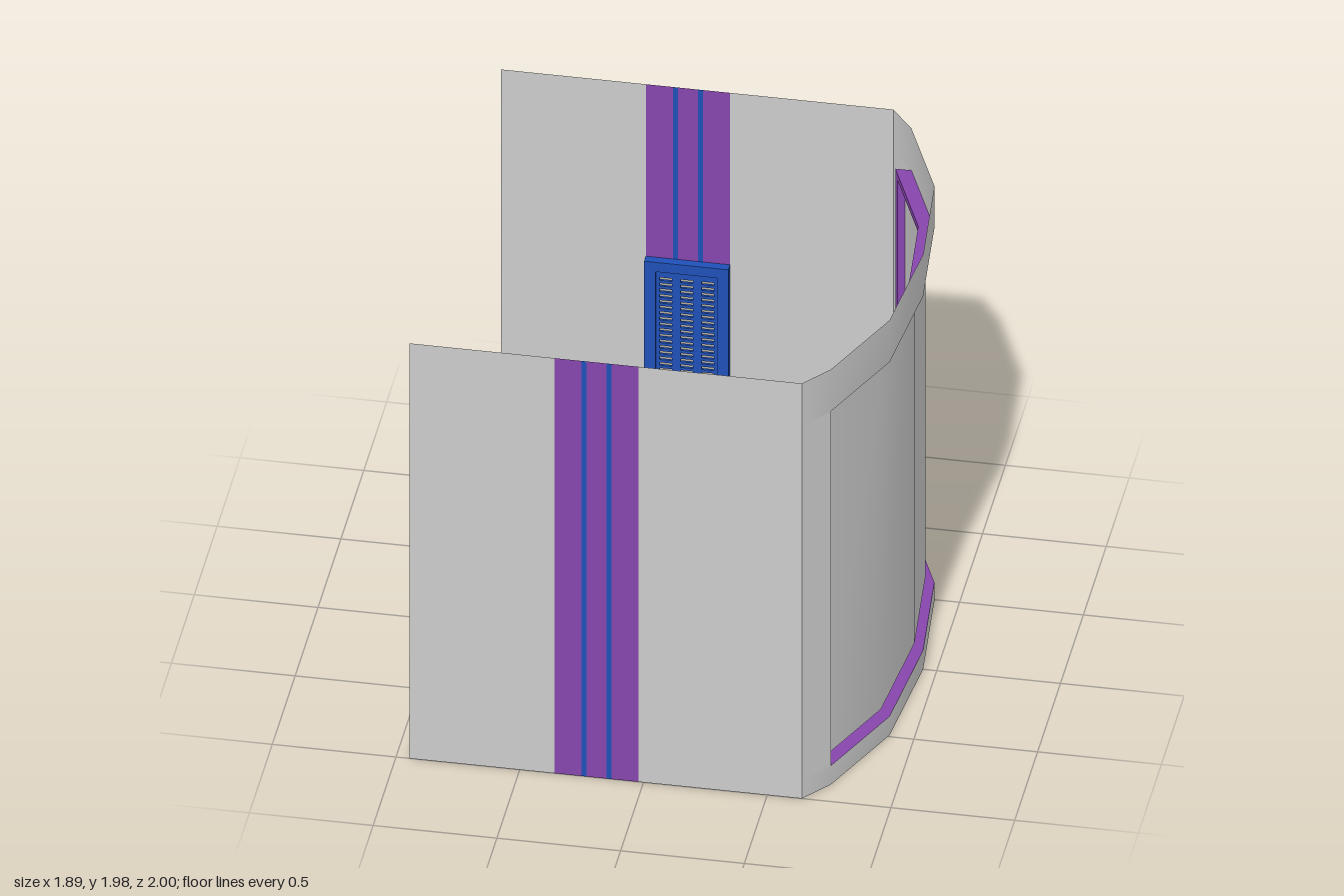
import * as THREE from 'three';

const H = 1.98, LEFT = -0.945;
const GREY = 0xcccccc, PURPLE = 0x8746ad, BLUE = 0x1f50b8;
const OPEN = { z: 0.88, y0: 0.09, y1: 1.78 };
const PANEL = { z: 0.845, y0: 0.12, y1: 1.75 };
const VENT = { x0: -0.36, x1: -0.02, y0: 0.37, y1: 1.16 };

const materials = {};
const material = (color) => (materials[color] ??= new THREE.MeshStandardMaterial({ color, side: THREE.DoubleSide }));
const v = (x, y, z) => new THREE.Vector3(x, y, z);

function add(parent, name, geometry, color) {
  const mesh = new THREE.Mesh(geometry, material(color));
  mesh.name = name;
  parent.add(mesh);
  return mesh;
}

// Thin surface stretched between two matching polylines
function strip(a, b) {
  const pos = [], idx = [];
  a.forEach((p, i) => {
    pos.push(...p.toArray(), ...b[i].toArray());
    if (i) {
      const k = 2 * i;
      idx.push(k - 2, k - 1, k, k, k - 1, k + 1);
    }
  });
  const g = new THREE.BufferGeometry();
  g.setAttribute('position', new THREE.Float32BufferAttribute(pos, 3));
  g.setIndex(idx);
  g.computeVertexNormals();
  return g;
}

// Faceted bow of the curved wall: x for a given z
const BOW = [[0, 0.945], [0.49, 0.9], [0.88, 0.735], [1, 0.64]];
function bowX(z) {
  const d = Math.abs(z);
  for (let i = 1; i < BOW.length; i++) {
    const [z0, x0] = BOW[i - 1], [z1, x1] = BOW[i];
    if (d <= z1) return x0 + ((x1 - x0) * (d - z0)) / (z1 - z0);
  }
  return BOW[BOW.length - 1][1];
}
const bowZs = (zMax) => {
  const half = [...BOW.map((p) => p[0]).filter((z) => z < zMax - 1e-6), zMax];
  return [...half.slice(1).reverse().map((z) => -z), ...half];
};
const bowPath = (zs, y, inset) => zs.map((z) => v(bowX(z) - inset, y, z));

// Edges of the coloured bands across the flat walls and the floor
const EDGES = [LEFT, -0.36, -0.25, -0.23, -0.15, -0.13, -0.02, 0.64];
const BANDS = [GREY, PURPLE, BLUE, PURPLE, BLUE, PURPLE, GREY];
const bandName = (color) => (color === GREY ? 'Panel' : color === PURPLE ? 'Stripe' : 'PinStripe');

function flatWall(name, z, gap) {
  const wall = new THREE.Group();
  wall.name = name;
  BANDS.forEach((color, i) => {
    const cut = gap && i > 0 && i < BANDS.length - 1;
    const spans = cut ? [[0, gap.y0], [gap.y1, H]] : [[0, H]];
    for (const [y0, y1] of spans) {
      const side = (x) => [v(x, y0, z), v(x, y1, z)];
      add(wall, name + bandName(color), strip(side(EDGES[i]), side(EDGES[i + 1])), color);
    }
  });
  return wall;
}

// Floor whose bands bend to follow the curved wall
function makeFloor() {
  const floor = new THREE.Group();
  floor.name = 'floor';
  const zs = bowZs(1);
  const edge = (i) => zs.map((z) => {
    if (i === 0) return v(LEFT, 0, z);
    if (i === EDGES.length - 1) return v(bowX(z), 0, z);
    const bend = (bowX(z) - 0.64) / 0.305;
    const across = (EDGES[i] + 0.36) / 0.34;
    return v(EDGES[i] + bend * (0.12 + 0.06 * across), 0, z);
  });
  BANDS.forEach((color, i) => add(floor, 'floor' + bandName(color), strip(edge(i), edge(i + 1)), color));
  return floor;
}

function makeCurvedWall() {
  const wall = new THREE.Group();
  wall.name = 'curvedWall';
  const all = bowZs(1), opening = bowZs(OPEN.z), inner = bowZs(PANEL.z);
  const band = (name, zs, y0, y1, inset, color) =>
    add(wall, name, strip(bowPath(zs, y0, inset), bowPath(zs, y1, inset)), color);
  const DEEP = 0.065, FACE = 0.035;

  // Outer skin around the opening
  band('lowerWallBand', all, 0, OPEN.y0, 0, GREY);
  band('upperWallBand', all, OPEN.y1, H, 0, GREY);
  for (const s of [-1, 1]) band('wallSide', [s * OPEN.z, s], OPEN.y0, OPEN.y1, 0, GREY);

  // Recess: reveal from the skin inwards, flat bottom, step back out to the panel
  for (const [outerY, innerY] of [[OPEN.y0, PANEL.y0], [OPEN.y1, PANEL.y1]]) {
    add(wall, 'recessReveal', strip(bowPath(opening, outerY, 0), bowPath(opening, outerY, DEEP)), PURPLE);
    band('recessBottom', opening, outerY, innerY, DEEP, PURPLE);
    add(wall, 'recessStep', strip(bowPath(inner, innerY, DEEP), bowPath(inner, innerY, FACE)), PURPLE);
  }
  for (const s of [-1, 1]) {
    const upright = (z, box, inset) => [box.y0, box.y1].map((y) => v(bowX(z) - inset, y, z));
    const zo = s * OPEN.z, zi = s * PANEL.z;
    add(wall, 'recessJamb', strip(upright(zo, OPEN, 0), upright(zo, OPEN, DEEP)), PURPLE);
    add(wall, 'recessSide', strip(upright(zo, PANEL, DEEP), upright(zi, PANEL, DEEP)), PURPLE);
    add(wall, 'recessSideStep', strip(upright(zi, PANEL, DEEP), upright(zi, PANEL, FACE)), PURPLE);
  }
  band('windowPanel', inner, PANEL.y0, PANEL.y1, FACE, GREY);
  return wall;
}

const rect = (Type, x0, y0, x1, y1) =>
  new Type([[x0, y0], [x1, y0], [x1, y1], [x0, y1]].map((p) => new THREE.Vector2(...p)));

// Framed grille with three columns of slots, set into the back wall
function makeVent() {
  const vent = new THREE.Group();
  vent.name = 'vent';
  const { x0, x1, y0, y1 } = VENT, t = 0.045;
  const frame = rect(THREE.Shape, x0, y0, x1, y1);
  frame.holes.push(rect(THREE.Path, x0 + t, y0 + t, x1 - t, y1 - t));
  add(vent, 'ventFrame', new THREE.ExtrudeGeometry(frame, { depth: 0.037, bevelEnabled: false }), BLUE)
    .position.z = -1;

  const grille = rect(THREE.Shape, x0 + t, y0 + t, x1 - t, y1 - t);
  const rows = 24, pitch = 0.027, mid = (x0 + x1) / 2;
  for (const cx of [-0.085, 0, 0.085]) {
    for (let r = 0; r < rows; r++) {
      const y = (y0 + y1) / 2 + (r - (rows - 1) / 2) * pitch;
      grille.holes.push(rect(THREE.Path, mid + cx - 0.025, y - 0.007, mid + cx + 0.025, y + 0.007));
    }
  }
  add(vent, 'ventGrille', new THREE.ExtrudeGeometry(grille, { depth: 0.01, bevelEnabled: false }), BLUE)
    .position.z = -0.985;
  return vent;
}

// Low rail on the floor, running along the inside of the curved wall
function makeRail() {
  const rail = new THREE.Group();
  rail.name = 'floorRail';
  const outer = [[0.615, -0.98], [0.79, -0.51], [0.84, 0], [0.79, 0.51], [0.615, 0.98]];
  const inner = [[0.575, -0.95], [0.745, -0.495], [0.79, 0], [0.745, 0.495], [0.575, 0.95]];
  const mix = (t) => outer.map(([x, z], i) =>
    new THREE.Vector2(x + (inner[i][0] - x) * t, z + (inner[i][1] - z) * t));
  const layer = (name, t0, t1, height) => {
    const shape = new THREE.Shape([...mix(t0), ...mix(t1).reverse()]);
    const g = new THREE.ExtrudeGeometry(shape, { depth: height, bevelEnabled: false });
    g.rotateX(Math.PI / 2).translate(0, height, 0);
    add(rail, name, g, BLUE);
  };
  layer('railBase', 0, 1, 0.06);
  layer('railRidge', 0.25, 0.75, 0.07);
  return rail;
}

export function createModel() {
  const model = new THREE.Group();
  model.name = 'curvedRoomSection';
  model.add(
    makeFloor(),
    flatWall('frontWall', 1),
    flatWall('backWall', -1, VENT),
    makeCurvedWall(),
    makeVent(),
    makeRail(),
  );
  return model;
}
